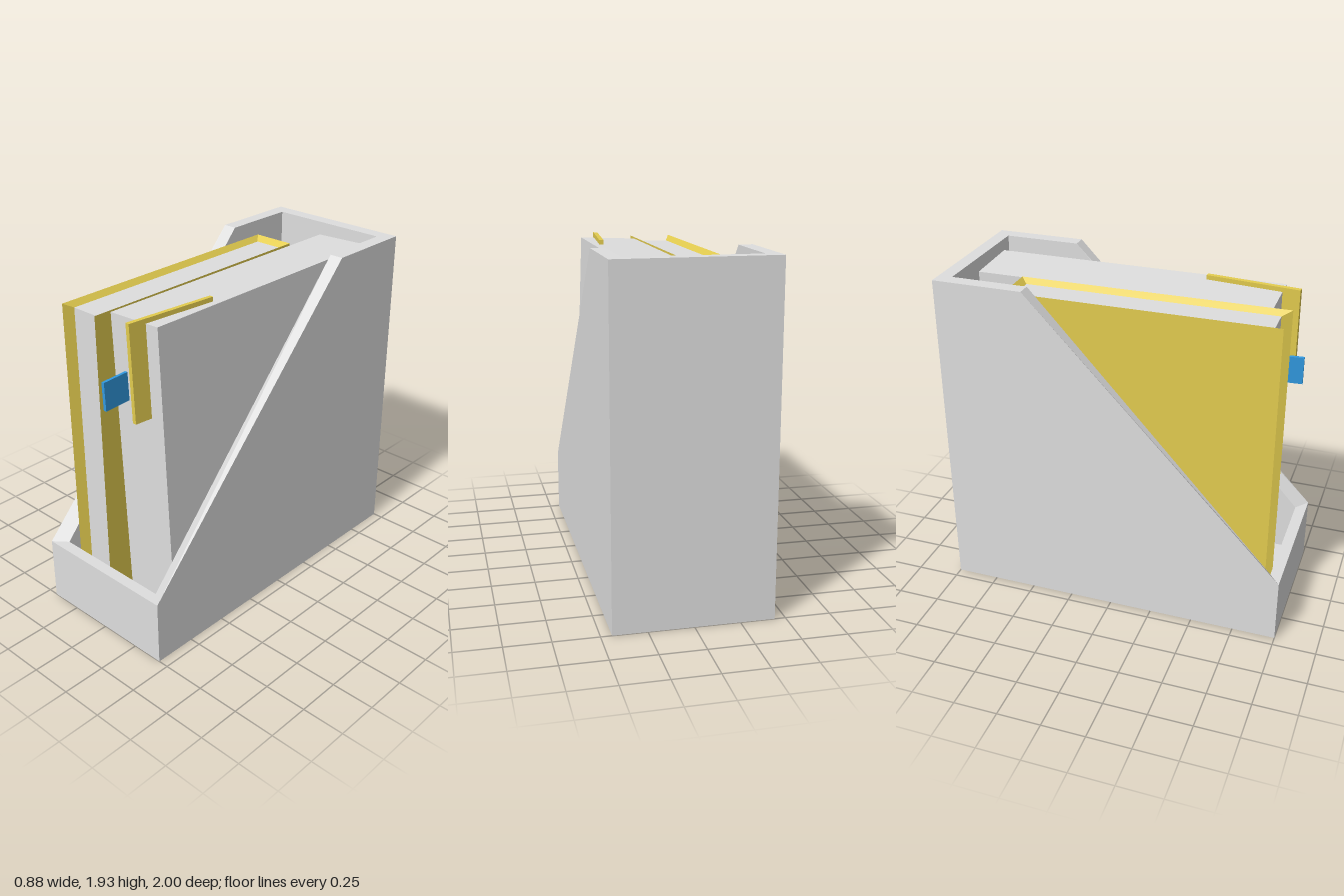
import * as THREE from 'three';

// Skin between matching loops of points (counter-clockwise seen from the last one), with flat end caps
function loft(loops) {
  const tris = [];
  const n = loops[0].length;
  for (let k = 0; k < loops.length - 1; k++) {
    const a = loops[k], b = loops[k + 1];
    for (let i = 0; i < n; i++) {
      const j = (i + 1) % n;
      tris.push(a[i], a[j], b[j], a[i], b[j], b[i]);
    }
  }
  const first = loops[0], last = loops[loops.length - 1];
  for (let i = 1; i < n - 1; i++) {
    tris.push(first[0], first[i + 1], first[i]);
    tris.push(last[0], last[i], last[i + 1]);
  }
  const geometry = new THREE.BufferGeometry();
  geometry.setAttribute('position', new THREE.Float32BufferAttribute(tris.flat(), 3));
  geometry.computeVertexNormals();
  return geometry;
}

function material(name, color) {
  const m = new THREE.MeshStandardMaterial({ color });
  m.name = name;
  return m;
}

function addMesh(parent, name, geometry, mat) {
  const mesh = new THREE.Mesh(geometry, mat);
  mesh.name = name;
  parent.add(mesh);
  return mesh;
}

function addBox(parent, name, size, position, mat) {
  const mesh = addMesh(parent, name, new THREE.BoxGeometry(...size), mat);
  mesh.position.set(...position);
  return mesh;
}

const FLOOR = 0.08;
const TILT = 0.039;

export function createModel() {
  const model = new THREE.Group();
  model.name = 'magazineFile';
  const grey = material('light grey', 0xdedede);
  const yellow = material('yellow', 0xe3cc4f);
  const blue = material('blue', 0x3199e0);

  // Open holder: outer wall, mitred sloping rim, inner wall and floor
  const ring = (x, front, back, yFront, yBack) => [
    [x, yFront, front], [x, yBack, -0.48], [x, yBack, back],
    [-x, yBack, back], [-x, yBack, -0.48], [-x, yFront, front],
  ];
  addMesh(model, 'holder', loft([
    ring(0.44, 1, -1, 0, 0),
    ring(0.44, 1, -1, 0.38, 1.93),
    ring(0.36, 0.935, -0.92, 0.38, 1.93),
    ring(0.36, 0.935, -0.92, FLOOR, FLOOR),
  ]), grey);

  // Bound book: page block in a cover whose edges bevel in to the pages
  const book = new THREE.Group();
  book.name = 'boundBook';
  book.position.x = -0.187;
  book.rotation.y = 0.006;
  model.add(book);
  const outer = { x: 0.125, top: 1.86, back: -0.64, front: 0.895 };
  const inner = { x: 0.097, top: 1.83, back: -0.605, front: 0.84 };
  addBox(book, 'pages',
    [inner.x * 2, inner.top - FLOOR, inner.front - inner.back],
    [0, (inner.top + FLOOR) / 2, (inner.front + inner.back) / 2], grey);
  for (const side of [-1, 1]) {
    const board = ({ x, top, back, front }) => {
      const loop = [
        [side * x, FLOOR, back], [side * x, top, back],
        [side * x, top, front], [side * x, FLOOR, front],
      ];
      return side < 0 ? loop : loop.reverse();
    };
    addMesh(book, side < 0 ? 'rightCover' : 'leftCover', loft([board(outer), board(inner)]), yellow);
  }
  const spine = ({ x, top, back }) => [
    [-x, FLOOR, back], [x, FLOOR, back], [x, top, back], [-x, top, back],
  ];
  addMesh(book, 'spine', loft([spine(outer), spine(inner)]), yellow);

  // Leaning paper stack, pivoting on its lower left corner
  const stack = new THREE.Group();
  stack.name = 'leaningStack';
  stack.position.set(0.355, 0.094, 0);
  stack.rotation.z = TILT;
  model.add(stack);
  addBox(stack, 'paperStack', [0.342, 1.772, 1.705], [-0.171, 0.886, -0.0645], grey);

  // Page markers sticking out of the stack
  const markers = [
    ['yellowMarker', [0.026, 0.545, 0.54], [0.216, 1.615, 0.62], -0.1, yellow],
    ['blueMarker', [0.018, 0.16, 0.19], [0.049, 1.47, 0.863], 0.06, blue],
  ];
  for (const [name, size, position, yaw, mat] of markers) {
    const marker = addBox(model, name, size, position, mat);
    marker.rotation.set(0, yaw, TILT, 'ZYX');
  }
  return model;
}
